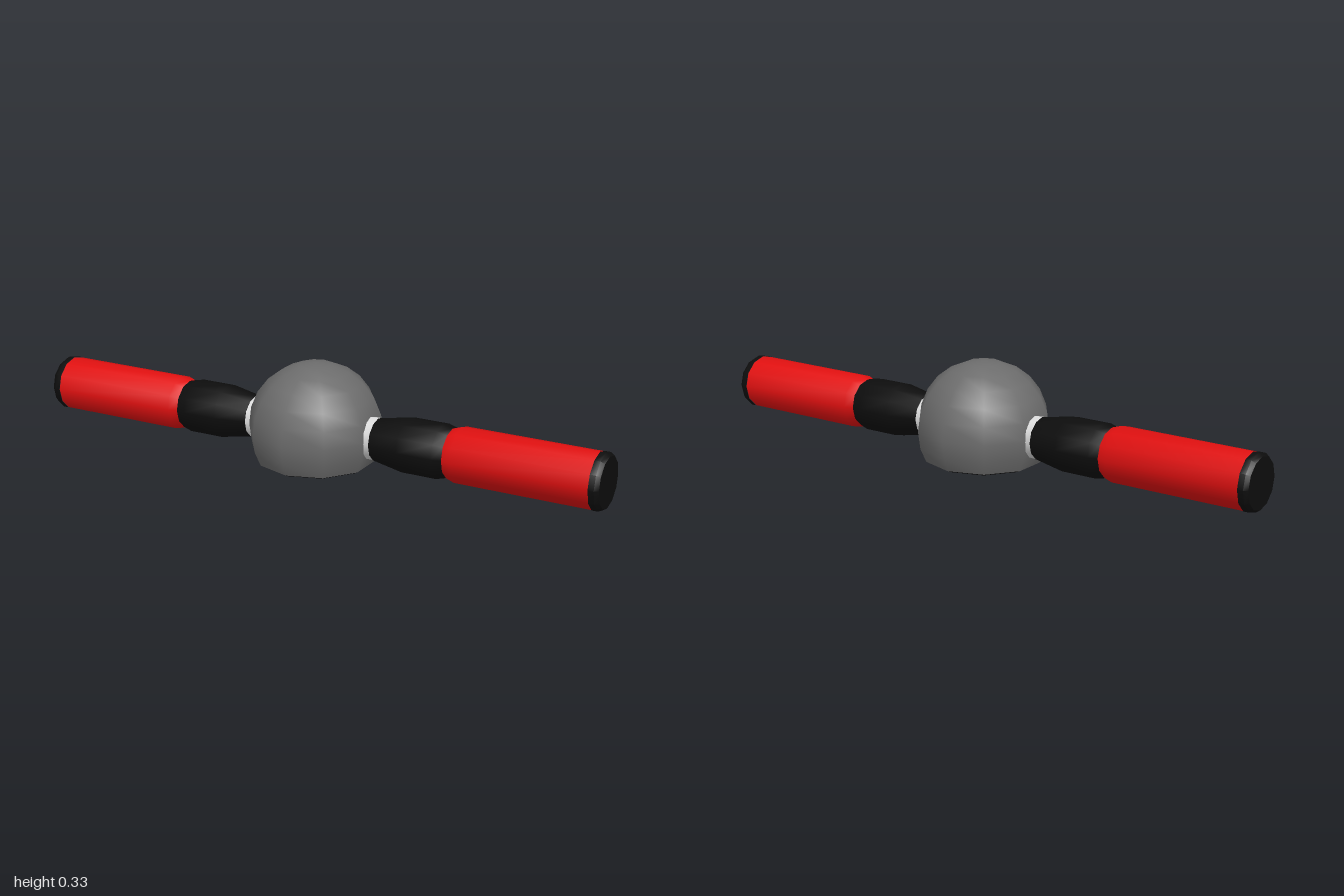
import * as THREE from 'three';
import { toCreasedNormals } from 'three/addons/utils/BufferGeometryUtils.js';

const mat = (name, color) => Object.assign(new THREE.MeshStandardMaterial({ color }), { name });

export function createModel() {
  const grey = mat('grey', 0x6c6c6c);
  const black = mat('black', 0x0d0d0d);
  const red = mat('red', 0xe01010);
  const white = mat('white', 0xdcdcdc);

  const CENTRE = 0.108; // height of the ball centre and arm axis
  const R = 0.222;

  // Turned part from [radius, height] pairs, listed bottom to top
  const turned = (name, profile, sides, material) => {
    const pts = profile.map(([r, y]) => new THREE.Vector2(r, y));
    const mesh = new THREE.Mesh(toCreasedNormals(new THREE.LatheGeometry(pts, sides), 0.7), material);
    mesh.name = name;
    return mesh;
  };

  const model = new THREE.Group();
  model.name = 'doubleEndedHandle';

  // Ball with its underside cut flat
  const ballProfile = [[0.195, 0.006]];
  for (let a = -15; a <= 90; a += 15) {
    const t = THREE.MathUtils.degToRad(a);
    ballProfile.push([a === 90 ? 0 : R * Math.cos(t), CENTRE + R * Math.sin(t)]);
  }
  model.add(turned('ball', ballProfile, 10, grey));
  model.add(turned('basePad', [[0, 0], [0.183, 0], [0.195, 0.006]], 10, black));

  // Arms: collar, tapered grip, tube and end cap along the x axis
  for (const side of [1, -1]) {
    const arm = new THREE.Group();
    arm.name = side > 0 ? 'leftArm' : 'rightArm';
    arm.add(
      turned('collar', [[0.069, 0.15], [0.069, 0.228]], 12, white),
      turned('grip', [[0, 0.228], [0.07, 0.228], [0.09, 0.335], [0.09, 0.455], [0.081, 0.487]], 12, black),
      turned('tube', [[0.081, 0.487], [0.091, 0.517], [0.091, 0.968]], 12, red),
      turned('endCap', [[0.092, 0.968], [0.092, 0.987], [0.083, 1], [0, 1]], 12, black)
    );
    arm.rotation.z = -side * Math.PI / 2;
    arm.position.y = CENTRE;
    model.add(arm);
  }
  return model;
}
